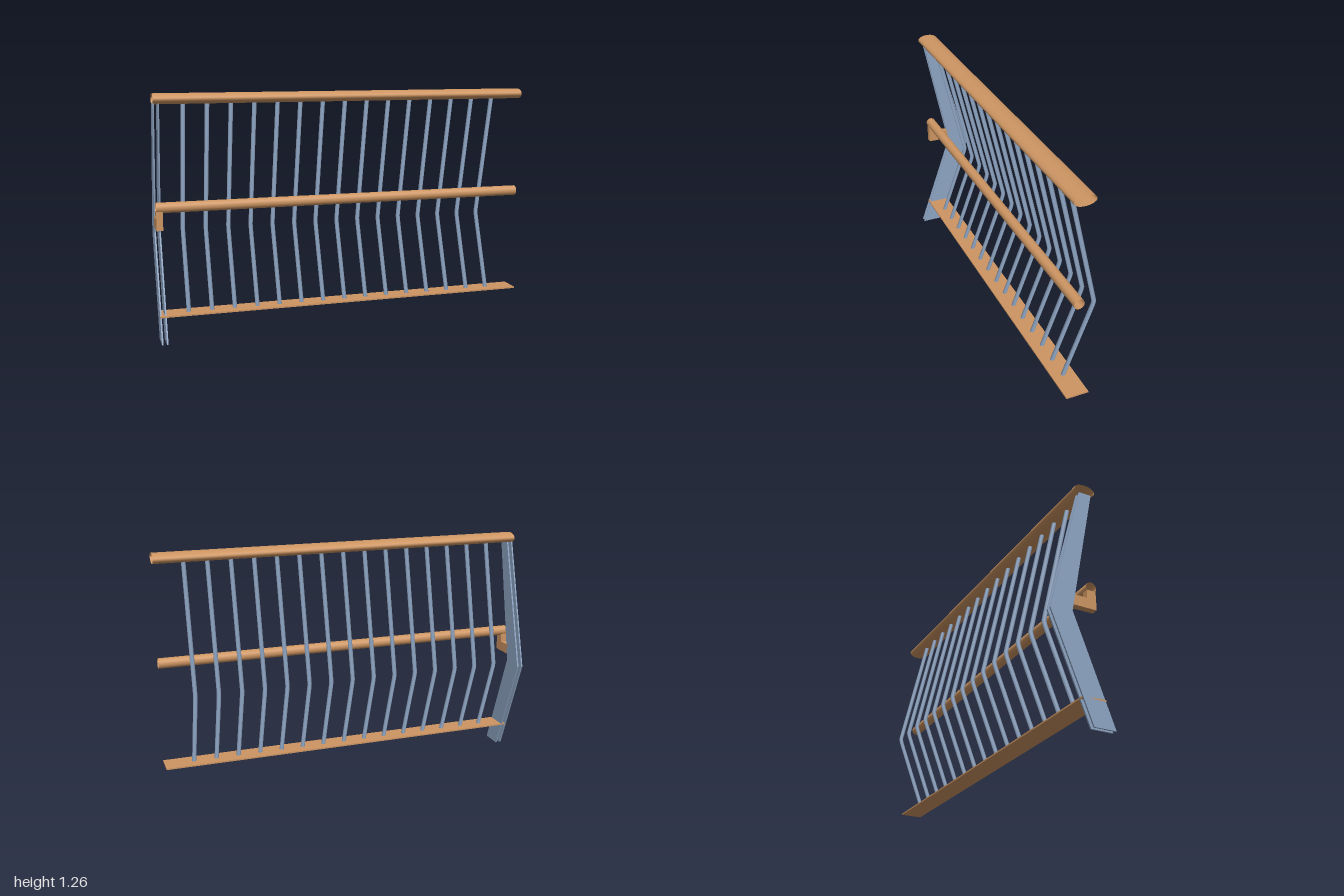
import * as THREE from 'three';

const wood = new THREE.MeshStandardMaterial({ color: 0xcd9562, side: THREE.DoubleSide });
const steel = new THREE.MeshStandardMaterial({ color: 0x8fa6c4, side: THREE.DoubleSide });

function add(parent, name, geometry, material) {
  const mesh = new THREE.Mesh(geometry, material);
  mesh.name = name;
  parent.add(mesh);
  return mesh;
}

// Plate with a side profile given as [z, y] points, spanning x0..x1
function sidePlate(points, x0, x1) {
  const shape = new THREE.Shape(points.map(([z, y]) => new THREE.Vector2(-z, y)));
  const g = new THREE.ExtrudeGeometry(shape, { depth: x1 - x0, bevelEnabled: false });
  return g.rotateY(Math.PI / 2).translate(x0, 0, 0);
}

// Open-ended rail along x with an elliptical section
function rail(y, z, ry, rz) {
  const g = new THREE.CylinderGeometry(1, 1, 2, 40, 1, true);
  return g.rotateZ(Math.PI / 2).scale(1, ry, rz).translate(0, y, z);
}

// Bent bar: the rings of a cylinder are moved onto a cranked path of [y, z] points
function bentBar(path, radius) {
  const n = path.length - 1;
  const g = new THREE.CylinderGeometry(radius, radius, n, 16, n);
  const p = g.attributes.position;
  for (let i = 0; i < p.count; i++) {
    const [y, z] = path[Math.round(p.getY(i) + n / 2)];
    p.setY(i, y);
    p.setZ(i, p.getZ(i) + z);
  }
  return g;
}

export function createModel() {
  const model = new THREE.Group();
  model.name = 'balustrade';

  // Handrails
  add(model, 'topRail', rail(1.237, 0.067, 0.027, 0.056), wood);
  add(model, 'middleRail', rail(0.692, 0.07, 0.027, 0.027), wood);

  // Bottom plank
  add(model, 'bottomPlank', new THREE.BoxGeometry(2, 0.008, 0.119).translate(0, 0.134, 0.0535), wood);

  // Cranked end post made of two thin plates
  const post = new THREE.Group();
  post.name = 'endPost';
  model.add(post);
  const profile = [[0.157, 0], [0.043, 0], [-0.155, 0.535], [0.034, 1.215], [0.1, 1.215], [-0.038, 0.545]];
  for (const x of [-1, -0.975]) add(post, 'postPlate', sidePlate(profile, x, x + 0.008), steel);

  // L-shaped bracket carrying the middle rail
  const bracket = [[0.093, 0.578], [-0.04, 0.578], [-0.04, 0.632], [0.045, 0.632], [0.045, 0.675], [0.093, 0.675]];
  add(model, 'railBracket', sidePlate(bracket, -1, -0.967), wood);

  // Row of cranked balusters
  const balusters = new THREE.Group();
  balusters.name = 'balusters';
  model.add(balusters);
  const bar = bentBar([[0.136, 0.054], [0.53, -0.09], [0.552, -0.095], [0.575, -0.09], [1.215, 0.062]], 0.0115);
  for (let i = 0; i < 15; i++) {
    add(balusters, 'baluster', bar, steel).position.x = -0.847 + i * 0.1208;
  }
  return model;
}
